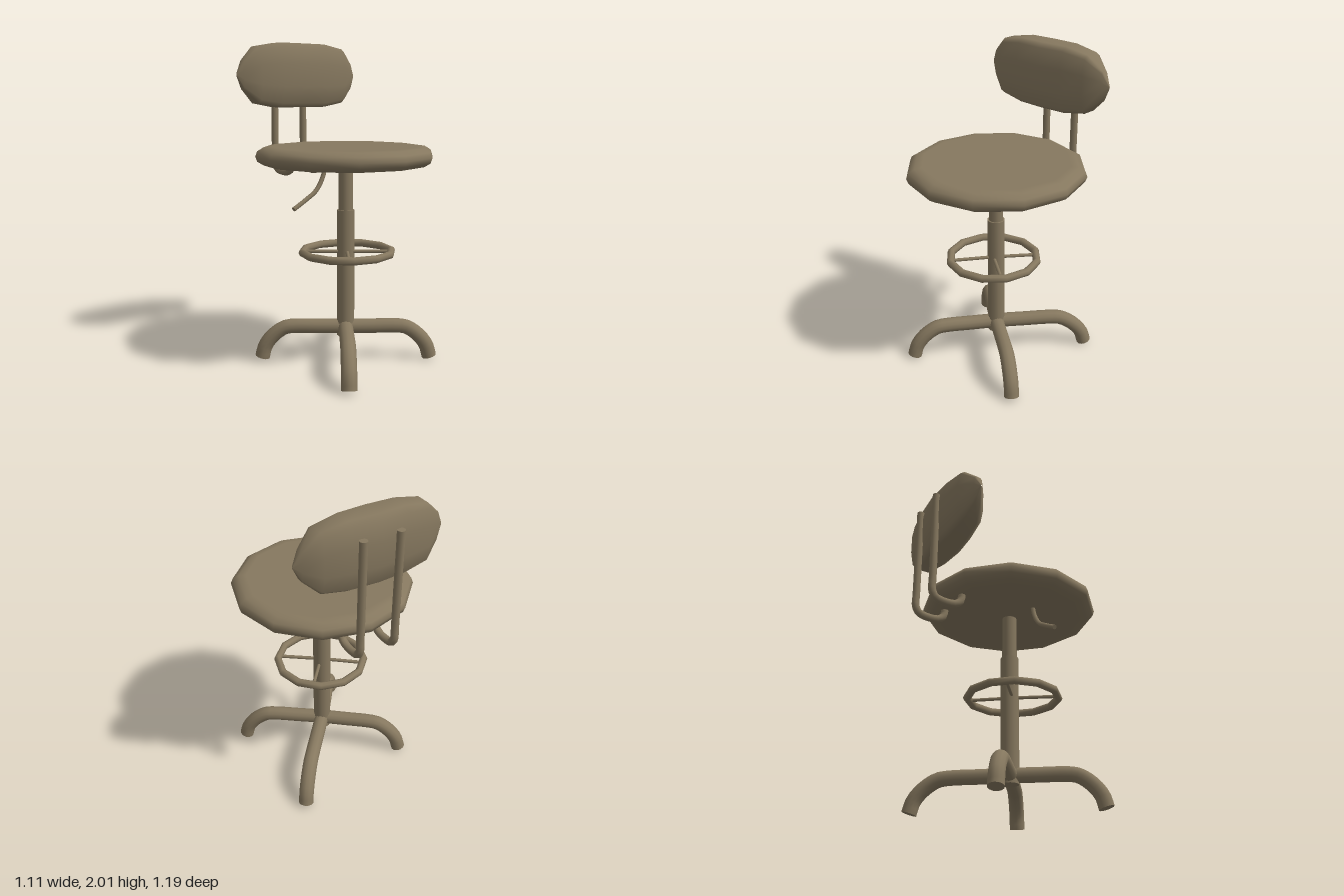
import * as THREE from 'three';
import { mergeGeometries } from 'three/addons/utils/BufferGeometryUtils.js';

const material = new THREE.MeshStandardMaterial({ color: 0x86785f });
const v = (x, y, z) => new THREE.Vector3(x, y, z);

function part(name, geometry, parent, x = 0, y = 0, z = 0) {
  const mesh = new THREE.Mesh(geometry, material);
  mesh.name = name;
  mesh.position.set(x, y, z);
  parent.add(mesh);
  return mesh;
}

// Bent rod with flat ends through the given points
function rod(points, radius, steps = 20, sides = 10) {
  const curve = new THREE.CatmullRomCurve3(points, false, 'centripetal');
  const caps = [0, 1].map((t) => {
    const outward = curve.getTangent(t).multiplyScalar(t ? 1 : -1);
    const turn = new THREE.Quaternion().setFromUnitVectors(v(0, 0, 1), outward);
    const end = curve.getPoint(t);
    return new THREE.CircleGeometry(radius, sides).applyQuaternion(turn).translate(end.x, end.y, end.z);
  });
  return mergeGeometries([new THREE.TubeGeometry(curve, steps, radius, sides), ...caps]);
}

// Cushion built from rounded cross-sections placed along x
function backCushion() {
  const stations = [[0.468, 0.004, 0.002], [0.425, 0.09, 0.032], [0.33, 0.178, 0.09], [0.175, 0.205, 0.108]];
  const sections = [
    ...stations.map(([x, h, d]) => [-x, h, d]),
    [0, 0.205, 0.125],
    ...stations.slice().reverse(),
  ];
  const half = [[1, 0.5], [0.87, 0.82], [0.35, 1], [-0.35, 1], [-0.87, 0.82], [-1, 0.5]];
  const ring = [...half, ...half.slice().reverse().map(([y, z]) => [y, -z])];
  const n = ring.length;
  const positions = [];
  const index = [];
  sections.forEach(([x, h, d], i) => {
    ring.forEach(([y, z], j) => {
      positions.push(x, y * h, z * d);
      if (i === sections.length - 1) return;
      const a = i * n + j;
      const b = i * n + ((j + 1) % n);
      index.push(a, b, a + n, b, b + n, a + n);
    });
  });
  const geometry = new THREE.BufferGeometry();
  geometry.setAttribute('position', new THREE.Float32BufferAttribute(positions, 3));
  geometry.setIndex(index);
  geometry.computeVertexNormals();
  return geometry;
}

export function createModel() {
  const stool = new THREE.Group();
  stool.name = 'swivelStool';
  const cz = 0.04;

  // Twelve-sided padded seat
  const seatProfile = [
    [0, 1.24], [0.46, 1.24], [0.505, 1.245], [0.543, 1.268], [0.555, 1.3],
    [0.543, 1.332], [0.505, 1.355], [0.46, 1.36], [0, 1.36],
  ].map(([r, y]) => new THREE.Vector2(r, y));
  part('seat', new THREE.LatheGeometry(seatProfile, 12), stool, 0, 0, 0.035);

  // Backrest with two hooked supports
  part('backrest', backCushion(), stool, -0.012, 1.795, -0.447);
  for (const x of [-0.117, 0.113]) {
    const path = [
      [1.91, -0.571], [1.6, -0.571], [1.3, -0.571], [1.22, -0.571], [1.18, -0.548], [1.167, -0.51],
      [1.165, -0.44], [1.175, -0.405], [1.2, -0.378], [1.25, -0.37],
    ].map(([y, z]) => v(x, y, z));
    part('backSupport', rod(path, 0.024, 36), stool);
  }

  // Telescopic column
  part('lowerColumn', new THREE.CylinderGeometry(0.056, 0.056, 0.81, 12), stool, 0, 0.555, cz);
  part('upperColumn', new THREE.CylinderGeometry(0.046, 0.046, 0.29, 12), stool, 0, 1.1, cz);

  // Height lever
  const lever = [[-0.2, 1.25], [-0.215, 1.19], [-0.265, 1.11], [-0.34, 1.06], [-0.43, 1.01]];
  part('heightLever', rod(lever.map(([x, y]) => v(x, y, 0.09)), 0.014, 14, 8), stool);

  // Four bent legs
  const feet = [[-0.33, 0.485], [0.435, 0.36], [0.39, -0.42], [-0.415, -0.3]];
  const bend = [[0, 0.205], [0.3, 0.205], [0.6, 0.205], [0.72, 0.196], [0.86, 0.145], [0.96, 0.075], [1, 0]];
  for (const [fx, fz] of feet) {
    const path = bend.map(([t, y]) => v(fx * t, y, cz + (fz - cz) * t));
    part('leg', rod(path, 0.047, 20, 12), stool);
  }

  // Foot ring with thin spokes lined up with the legs
  const footRing = new THREE.Group();
  footRing.name = 'footRing';
  footRing.position.set(-0.004, 0.697, 0.06);
  stool.add(footRing);
  part('ring', new THREE.TorusGeometry(0.282, 0.025, 8, 12).rotateX(Math.PI / 2), footRing);
  for (const [fx, fz] of feet) {
    const direction = v(fx, 0, fz - cz).setLength(0.275);
    part('spoke', rod([v(0, 0, 0), direction], 0.011, 1, 8), footRing);
  }
  return stool;
}
